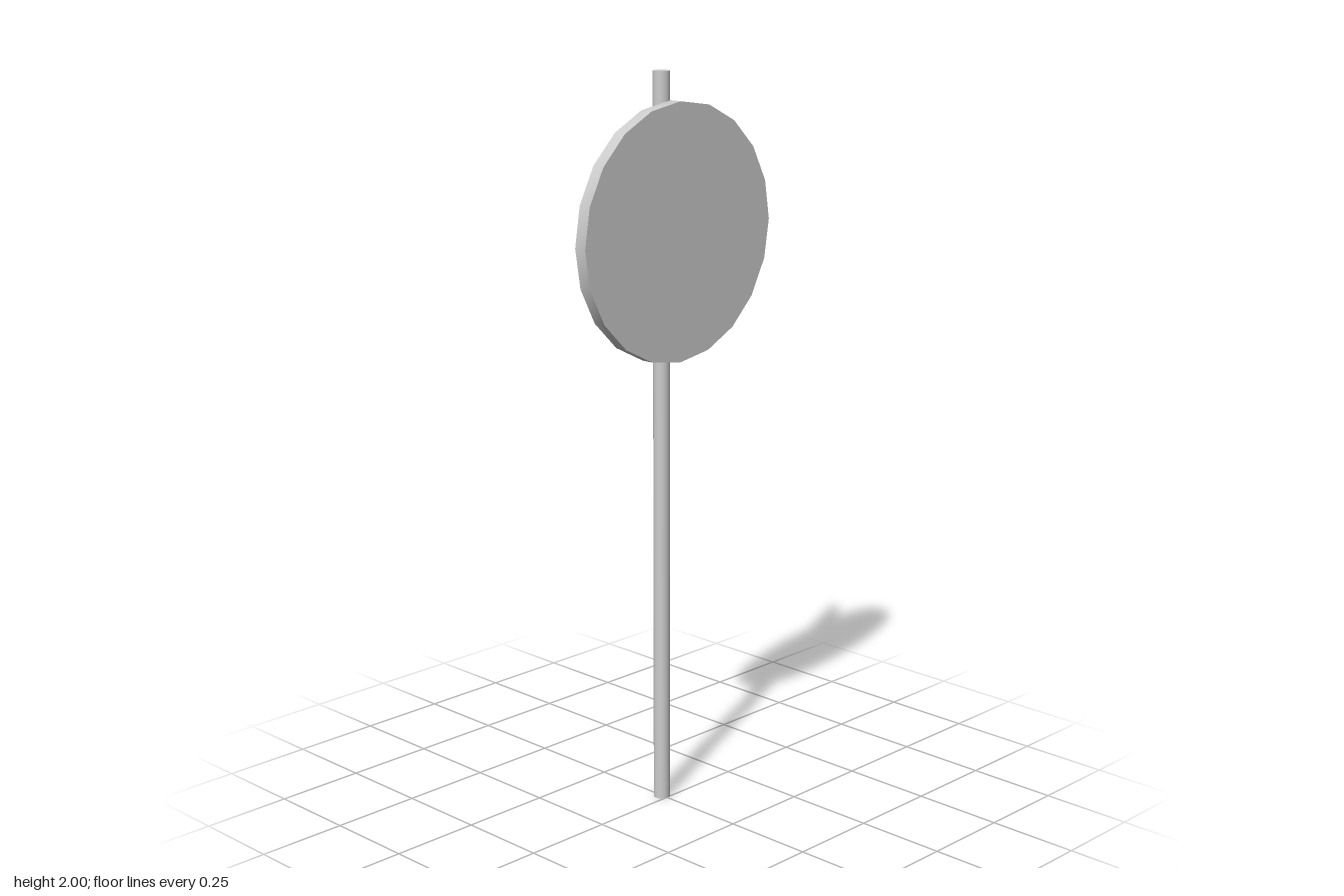
import * as THREE from 'three';
import { toCreasedNormals } from 'three/addons/utils/BufferGeometryUtils.js';

const material = new THREE.MeshStandardMaterial({ color: 0xcccccc });

function addMesh(parent, name, geometry, x = 0, y = 0, z = 0) {
  const mesh = new THREE.Mesh(geometry, material);
  mesh.name = name;
  mesh.position.set(x, y, z);
  parent.add(mesh);
  return mesh;
}

// Box given by its width, height and its z range
function addBar(parent, name, width, height, z0, z1, x = 0, y = 0) {
  return addMesh(parent, name, new THREE.BoxGeometry(width, height, z1 - z0), x, y, (z0 + z1) / 2);
}

// Rail with an I-shaped section, and the U-shaped clamp around the post
function createBracket(y) {
  const bracket = new THREE.Group();
  bracket.name = 'bracket';
  bracket.position.y = y;

  const length = 0.296;
  addBar(bracket, 'railBackFlange', length, 0.042, 0.003, 0.009);
  addBar(bracket, 'railWeb', length, 0.008, 0.009, 0.029);
  addBar(bracket, 'railFrontFlange', length, 0.042, 0.029, 0.035);

  for (const side of [-1, 1]) {
    addBar(bracket, 'clampArm', 0.011, 0.02, -0.042, 0.003, side * 0.0375);
  }
  addBar(bracket, 'clampBack', 0.086, 0.02, -0.05, -0.041);
  return bracket;
}

export function createModel() {
  const model = new THREE.Group();
  model.name = 'roundSignOnPost';

  // Post
  addMesh(model, 'post', new THREE.CylinderGeometry(0.0225, 0.0225, 2, 20), 0, 1, -0.0195);

  // Round sign panel, hollowed at the back inside a raised rim
  const profile = [
    [0, 0.035], [0.306, 0.035], [0.306, 0.014], [0.34, 0.014], [0.34, 0.05], [0, 0.05],
  ].map(([r, z]) => new THREE.Vector2(r, z));
  const panel = toCreasedNormals(new THREE.LatheGeometry(profile, 20), Math.PI / 6);
  panel.rotateX(Math.PI / 2);
  addMesh(model, 'signPanel', panel, 0, 1.587, 0);

  // Two mounting brackets
  for (const y of [1.488, 1.635]) model.add(createBracket(y));

  return model;
}
